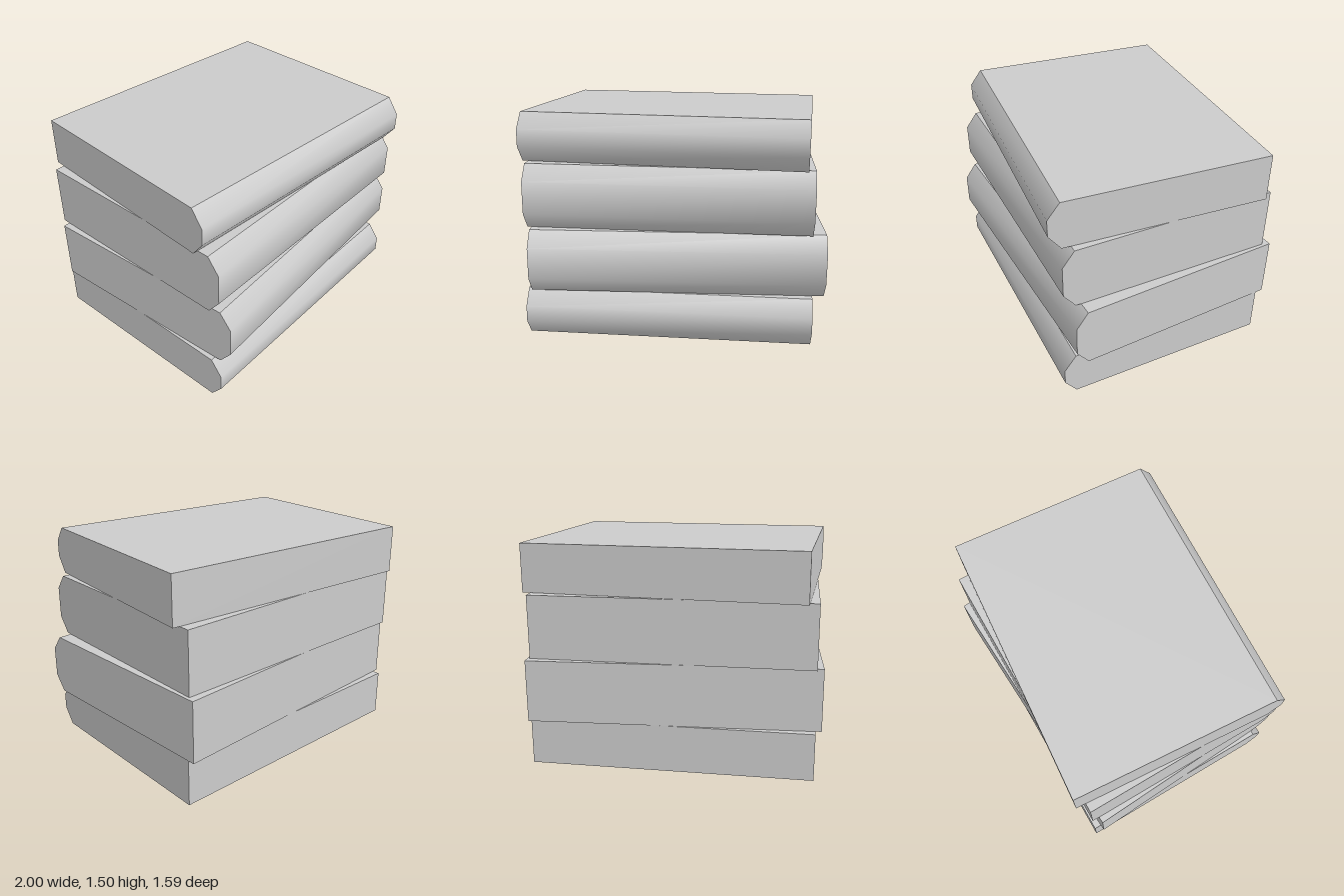
import * as THREE from 'three';
import { toCreasedNormals } from 'three/addons/utils/BufferGeometryUtils.js';

const material = new THREE.MeshStandardMaterial({ color: 0xcccccc });

// Closed book lying flat: square block with a bevelled, softly shaded spine at +z
function makeBook({ name, width, depth, bottom, top, x, z, turn }) {
  const d = depth / 2;
  const h = top - bottom;
  const inset = 0.08; // bevel reach along z
  const rise = 0.105; // bevel height
  const profile = new THREE.Shape([
    new THREE.Vector2(-d, 0),
    new THREE.Vector2(d - inset, 0),
    new THREE.Vector2(d, rise),
    new THREE.Vector2(d, h - rise),
    new THREE.Vector2(d - inset, h),
    new THREE.Vector2(-d, h),
  ]);
  const block = new THREE.ExtrudeGeometry(profile, { depth: width, bevelEnabled: false });
  block.translate(0, 0, -width / 2);
  block.rotateY(-Math.PI / 2);

  // Smooth across the spine, sharp where it meets the covers
  const book = new THREE.Mesh(toCreasedNormals(block, Math.PI / 4), material);
  book.name = name;
  book.position.set(x, bottom, z);
  book.rotation.y = turn;
  return book;
}

export function createModel() {
  const stack = new THREE.Group();
  stack.name = 'bookStack';

  const books = [
    { name: 'bottomBook', width: 1.88, depth: 1.475, bottom: 0, top: 0.318, x: -0.02, z: 0.008, turn: 0 },
    { name: 'lowerMiddleBook', width: 1.923, depth: 1.472, bottom: 0.32, top: 0.737, x: 0, z: 0.005, turn: 0.053 },
    { name: 'upperMiddleBook', width: 1.86, depth: 1.46, bottom: 0.739, top: 1.163, x: -0.025, z: 0, turn: 0 },
    { name: 'topBook', width: 1.85, depth: 1.449, bottom: 1.165, top: 1.487, x: -0.02, z: -0.003, turn: -0.075 },
  ];
  for (const book of books) stack.add(makeBook(book));

  // The whole pile leans very slightly to the right and back
  stack.rotation.set(-0.004, 0, -0.004);
  stack.position.y = 0.007;

  const model = new THREE.Group();
  model.name = 'stackOfBooks';
  model.add(stack);
  return model;
}
